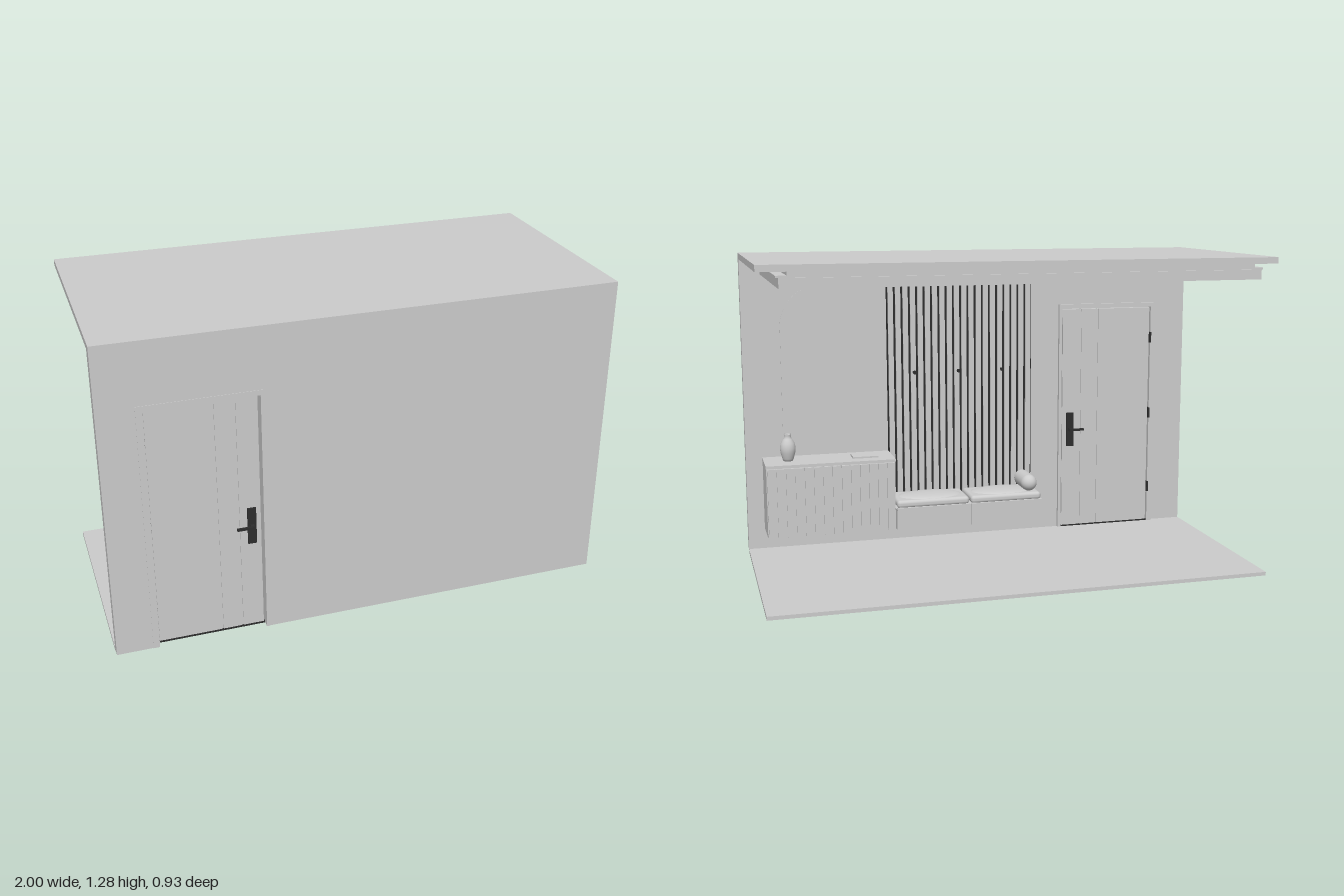
import * as THREE from 'three';
import { RoundedBoxGeometry } from 'three/addons/geometries/RoundedBoxGeometry.js';

const plaster = new THREE.MeshStandardMaterial({ color: 0xcccccc });
plaster.name = 'light grey';
const dark = new THREE.MeshStandardMaterial({ color: 0x2e2e2e });
dark.name = 'dark grey';

function add(parent, name, geometry, material = plaster) {
  const mesh = new THREE.Mesh(geometry, material);
  mesh.name = name;
  parent.add(mesh);
  return mesh;
}

// Box given by its limits on each axis
function box(parent, name, x0, x1, y0, y1, z0, z1, material = plaster) {
  const mesh = add(parent, name, new THREE.BoxGeometry(x1 - x0, y1 - y0, z1 - z0), material);
  mesh.position.set((x0 + x1) / 2, (y0 + y1) / 2, (z0 + z1) / 2);
  return mesh;
}

// Outline standing on y0 with a doorway notch cut from its lower edge
function notched(x0, x1, y0, y1, n0, n1, nTop) {
  const pts = [[x0, y0], [n0, y0], [n0, nTop], [n1, nTop], [n1, y0], [x1, y0], [x1, y1], [x0, y1]];
  return new THREE.Shape(pts.map(p => new THREE.Vector2(...p)));
}

function slab(parent, name, shape, z0, z1, material = plaster) {
  const geometry = new THREE.ExtrudeGeometry(shape, { depth: z1 - z0, bevelEnabled: false, curveSegments: 24 });
  geometry.translate(0, 0, z0);
  return add(parent, name, geometry, material);
}

function group(parent, name) {
  const g = new THREE.Group();
  g.name = name;
  parent.add(g);
  return g;
}

function buildDoor(root) {
  const door = group(root, 'door');
  const casing = notched(-0.86, -0.397, 0.015, 1.04, -0.835, -0.41, 1.02);
  slab(door, 'frontCasing', casing, 0.464, 0.467);
  slab(door, 'backCasing', casing, 0.405, 0.421);
  // Leaf: a core with planks on both faces, leaving narrow grooves
  box(door, 'doorCore', -0.83, -0.414, 0.022, 1.016, 0.412, 0.434);
  box(door, 'threshold', -0.835, -0.41, 0.012, 0.021, 0.41, 0.436, dark);
  const cuts = [-0.832, -0.58, -0.5, -0.412];
  for (let i = 0; i < 3; i++) {
    box(door, 'doorPlank', cuts[i] + 0.003, cuts[i + 1] - 0.003, 0.022, 1.017, 0.408, 0.438);
  }
  for (const y of [0.18, 0.53, 0.88]) {
    box(door, 'hinge', -0.839, -0.831, y - 0.024, y + 0.024, 0.402, 0.441, dark);
  }
  // Handle set on each face
  for (const [face, dir] of [[0.438, 1], [0.408, -1]]) {
    const span = (a, b) => [Math.min(face + dir * a, face + dir * b), Math.max(face + dir * a, face + dir * b)];
    box(door, 'handlePlate', -0.468, -0.434, 0.393, 0.547, ...span(0, 0.006), dark);
    box(door, 'handleNeck', -0.458, -0.444, 0.463, 0.477, ...span(0.006, 0.02), dark);
    box(door, 'handleLever', -0.512, -0.444, 0.465, 0.475, ...span(0.015, 0.023), dark);
  }
}

function buildConsole(root) {
  const cabinet = group(root, 'console');
  box(cabinet, 'cabinetBody', 0.387, 0.93, 0.105, 0.403, 0.25, 0.42);
  box(cabinet, 'cabinetTop', 0.385, 0.932, 0.405, 0.416, 0.235, 0.42);
  box(cabinet, 'topShadowGap', 0.39, 0.927, 0.402, 0.406, 0.245, 0.42);
  box(cabinet, 'lightStrip', 0.4, 0.92, 0.1, 0.106, 0.37, 0.4);
  // Ribbed doors
  const count = 14, pitch = 0.543 / count;
  box(cabinet, 'doorBacking', 0.389, 0.928, 0.108, 0.4, 0.245, 0.251);
  for (let i = 0; i < count; i++) {
    const x = 0.387 + pitch * i;
    box(cabinet, 'frontRib', x + 0.004, x + pitch - 0.004, 0.106, 0.4, 0.237, 0.246);
  }
  // Vase and flat book
  const profile = [[0, 0], [0.02, 0], [0.024, 0.01], [0.031, 0.035], [0.033, 0.055], [0.029, 0.076],
    [0.019, 0.093], [0.014, 0.1], [0.014, 0.11], [0.016, 0.114], [0.012, 0.114], [0.011, 0.1], [0, 0.098]];
  const vase = add(cabinet, 'vase', new THREE.LatheGeometry(profile.map(p => new THREE.Vector2(...p)), 32));
  vase.position.set(0.83, 0.416, 0.33);
  box(cabinet, 'book', 0.45, 0.56, 0.416, 0.423, 0.29, 0.365);
}

function buildBench(root) {
  const bench = group(root, 'bench');
  const left = 0.384, mid = 0.058, right = -0.268;
  box(bench, 'benchBody', right, left, 0.105, 0.195, 0.242, 0.42);
  for (const [a, b] of [[right, mid], [mid, left]]) {
    box(bench, 'drawerFront', a + 0.002, b - 0.002, 0.105, 0.2, 0.23, 0.243);
    // Seat cushion with a domed top
    const geo = new RoundedBoxGeometry(b - a - 0.008, 0.036, 0.18, 5, 0.015);
    const pos = geo.attributes.position;
    const dome = new THREE.SphereGeometry(1, 28, 8, 0, Math.PI * 2, 0, Math.PI / 2);
    for (let i = 0; i < pos.count; i++) {
      if (pos.getY(i) > 0) pos.setY(i, pos.getY(i) * 0.9);
    }
    const cushion = add(bench, 'seatCushion', geo);
    cushion.position.set((a + b) / 2, 0.213, 0.328);
    const crown = add(bench, 'cushionCrown', dome);
    crown.scale.set((b - a) / 2 - 0.022, 0.014, 0.08);
    crown.position.set((a + b) / 2, 0.227, 0.328);
  }
  const bolster = add(bench, 'bolster', new THREE.CapsuleGeometry(0.036, 0.1, 8, 24));
  bolster.rotation.x = Math.PI / 2;
  bolster.position.set(-0.215, 0.268, 0.32);
}

function buildSlatWall(root) {
  const panel = group(root, 'slatWall');
  const x0 = -0.265, x1 = 0.385, count = 20, pitch = (x1 - x0) / count;
  box(panel, 'slatBacking', x0, x1, 0.195, 1.205, 0.409, 0.421, dark);
  for (let i = 0; i < count; i++) {
    const x = x0 + pitch * i;
    box(panel, 'slat', x + 0.005, x + pitch - 0.005, 0.195, 1.205, 0.401, 0.41);
  }
  // Coat hooks
  for (const x of [0.27, 0.073, -0.124]) {
    const peg = add(panel, 'coatHook', new THREE.CylinderGeometry(0.005, 0.005, 0.024, 16), dark);
    peg.rotation.x = Math.PI / 2;
    peg.position.set(x, 0.763, 0.39);
    const knob = add(panel, 'hookKnob', new THREE.CylinderGeometry(0.008, 0.008, 0.008, 16), dark);
    knob.rotation.x = Math.PI / 2;
    knob.position.set(x, 0.763, 0.38);
  }
}

export function createModel() {
  const root = new THREE.Group();
  root.name = 'entranceHall';

  // Shell
  box(root, 'floor', -1, 1, 0, 0.015, -0.465, 0.42);
  slab(root, 'wall', notched(-1, 1, 0.015, 1.26, -0.835, -0.41, 1.02), 0.42, 0.465);
  box(root, 'ceilingSlab', -1, 1, 1.26, 1.285, -0.465, 0.465);

  // Stepped dropped ceiling
  box(root, 'droppedCeiling', -0.93, 0.92, 1.2, 1.238, -0.465, 0.36);
  box(root, 'coveLip', -0.94, 0.93, 1.238, 1.246, -0.455, 0.368);
  box(root, 'ceilingSpacer', -0.9, 0.89, 1.246, 1.26, -0.465, 0.33);

  // Thin arched panel above the console
  const arch = new THREE.Shape();
  arch.moveTo(0.485, 0.417);
  arch.lineTo(0.84, 0.417);
  arch.lineTo(0.84, 0.972);
  arch.absarc(0.6625, 0.972, 0.1775, 0, Math.PI, false);
  arch.lineTo(0.485, 0.417);
  slab(root, 'archPanel', arch, 0.416, 0.421);

  buildDoor(root);
  buildConsole(root);
  buildBench(root);
  buildSlatWall(root);
  return root;
}
